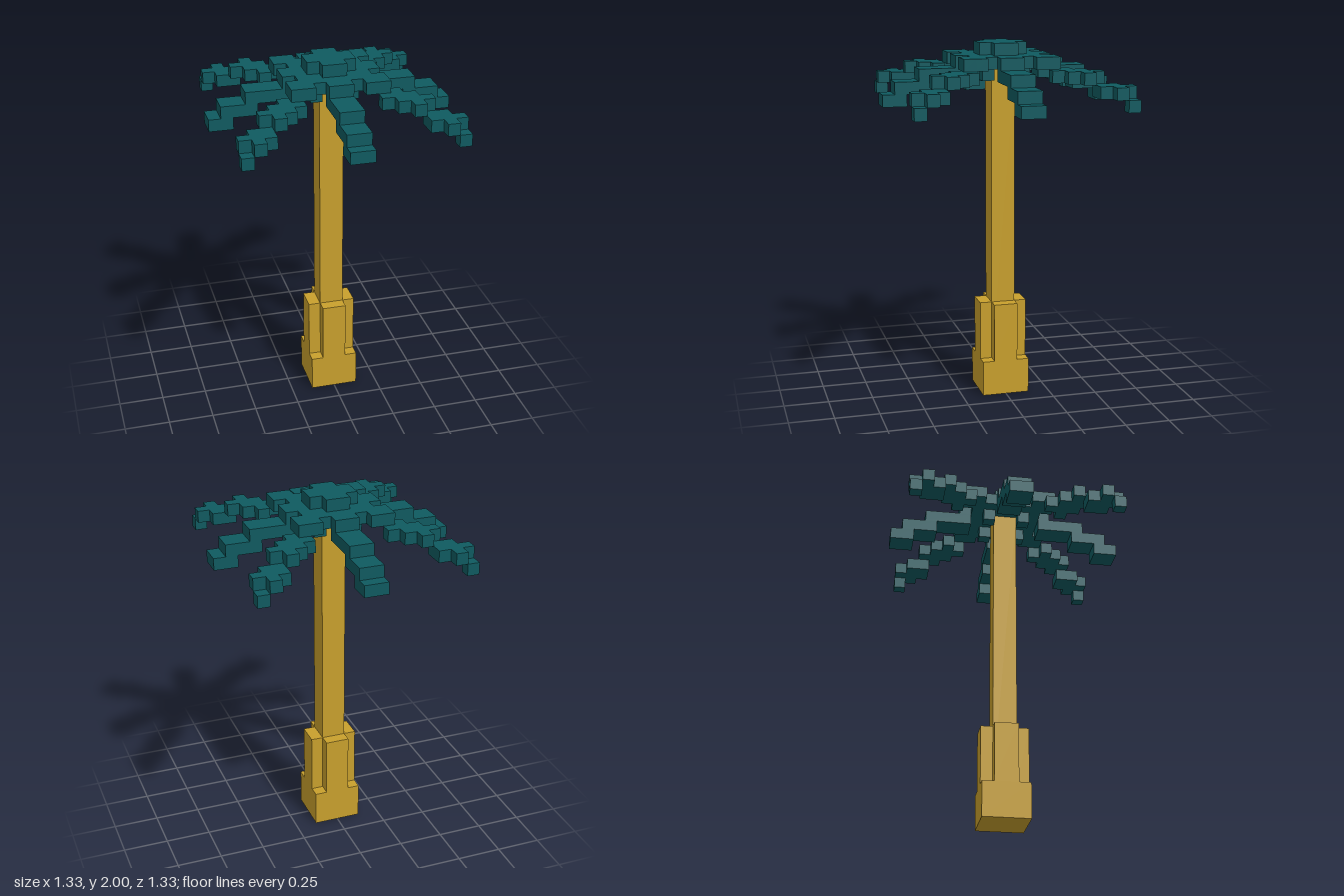
import * as THREE from 'three';

const U = 2 / 30; // one block

export function createModel() {
  const bark = new THREE.MeshStandardMaterial({ color: 0xc8a02d });
  bark.name = 'bark';
  const leaf = new THREE.MeshStandardMaterial({ color: 0x0f5a60 });
  leaf.name = 'leaf';

  // Box given by its block limits on each axis
  const block = (parent, name, mat, [x0, x1], [y0, y1], [z0, z1]) => {
    const g = new THREE.BoxGeometry((x1 - x0) * U, (y1 - y0) * U, (z1 - z0) * U);
    g.translate((x0 + x1) * U / 2, (y0 + y1) * U / 2, (z0 + z1) * U / 2);
    const m = new THREE.Mesh(g, mat);
    m.name = name;
    parent.add(m);
  };

  const tree = new THREE.Group();
  tree.name = 'palmTree';

  // Trunk on a square foot
  block(tree, 'trunkFoot', bark, [-2, 2], [0, 3], [-2, 2]);
  block(tree, 'trunk', bark, [-1, 1], [3, 28], [-1, 1]);

  // Crown: wide plate with a cross-shaped cap
  block(tree, 'crownPlate', leaf, [-3, 3], [28, 29], [-3, 3]);
  block(tree, 'crownCap', leaf, [-1, 1], [29, 30], [-1, 1]);

  // Straight frond steps: [start, end, bottom]
  const straight = [[3, 4, 28], [3, 7, 27], [6, 9, 26], [8, 10, 25]];

  // Diagonal frond pieces: [x0, x1, z0, z1, bottom]
  const diagonal = [
    [1, 2, 1, 2, 27],
    [2, 4, 3, 4, 28], [3, 4, 2, 3, 28],
    [4, 6, 4, 6, 27], [3, 4, 4, 5, 27], [4, 5, 3, 4, 27], [5, 6, 6, 7, 27], [6, 7, 5, 6, 27],
    [6, 8, 6, 8, 26], [7, 8, 8, 9, 26], [8, 9, 7, 8, 26],
    [8, 9, 8, 9, 25],
  ];

  // Four equal quarters around the trunk
  for (let i = 0; i < 4; i++) {
    const quarter = new THREE.Group();
    quarter.name = 'quarter' + (i + 1);
    quarter.rotation.y = i * Math.PI / 2;
    block(quarter, 'trunkButtress', bark, [1, 2], [3, 8], [-1, 1]);
    block(quarter, 'crownCapArm', leaf, [1, 2], [29, 30], [-1, 1]);
    for (const [a, b, y] of straight) {
      block(quarter, 'straightFrond', leaf, [a, b], [y, y + 1], [-1, 1]);
    }
    for (const [x0, x1, z0, z1, y] of diagonal) {
      block(quarter, 'diagonalFrond', leaf, [x0, x1], [y, y + 1], [z0, z1]);
    }
    tree.add(quarter);
  }
  return tree;
}
